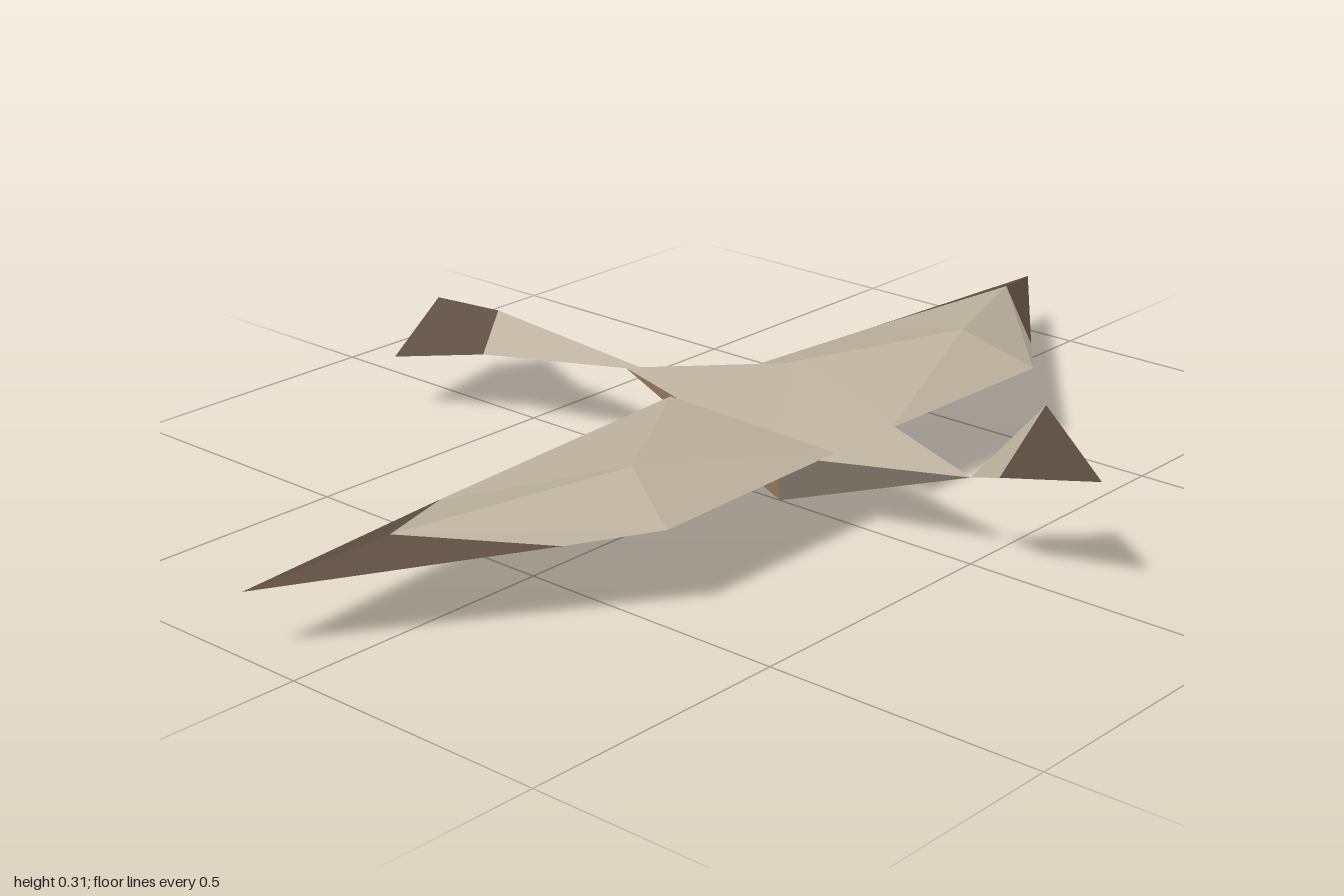
import * as THREE from 'three';

const mat = (name, color) => {
  const m = new THREE.MeshStandardMaterial({ color, side: THREE.DoubleSide, flatShading: true });
  m.name = name;
  return m;
};

// Faceted mesh from named points and triangles, e.g. 'a b c'
function facets(name, points, faces, material, mirror) {
  const pos = [];
  for (const face of faces) {
    const keys = face.split(' ');
    if (mirror < 0) keys.reverse();
    for (const k of keys) pos.push(points[k][0] * mirror, points[k][1], points[k][2]);
  }
  const geo = new THREE.BufferGeometry();
  geo.setAttribute('position', new THREE.Float32BufferAttribute(pos, 3));
  geo.computeVertexNormals();
  const mesh = new THREE.Mesh(geo, material);
  mesh.name = name;
  return mesh;
}

export function createModel() {
  const cream = mat('cream feathers', 0xbdb29e);
  const brown = mat('dark brown feathers', 0x5f4e43);
  const tan = mat('tan belly', 0xbf9f78);
  const model = new THREE.Group();
  model.name = 'bird';

  // Body: stretched octahedron with a tan rear belly
  const body = {
    front: [0, 0.15, 0.495], back: [0, 0.155, -0.265],
    top: [0, 0.26, 0.135], bottom: [0, 0, 0.095], side: [0.088, 0.125, 0.155],
  };
  // Head: small wedge with the beak pointing forward
  const head = {
    beak: [0, 0.21, 0.745], crown: [0, 0.31, 0.635], nape: [0, 0.15, 0.495],
    side: [0.04, 0.185, 0.58], chin: [0, 0.185, 0.58],
  };
  // Tail: ridged fan widening to the rear
  const tail = {
    root: [0, 0.163, -0.21], ridge: [0, 0.19, -0.585], end: [0, 0.18, -0.745],
    side: [0.07, 0.13, -0.555], corner: [0.15, 0.112, -0.705],
  };
  // Wing: a thin folded sheet with a raised ridge
  const wing = {
    rootFront: [0.073, 0.157, 0.275], rootBack: [0.073, 0.165, -0.09],
    front: [0.48, 0.152, 0.275], split: [0.61, 0.14, 0.178],
    tip: [1, 0.112, -0.108], rear: [0.56, 0.112, -0.147],
    inner: [0.43, 0.21, 0.155], outer: [0.79, 0.165, -0.01],
  };

  for (const s of [1, -1]) {
    const label = s > 0 ? 'left' : 'right';
    const add = (part, pts, faces, m) => model.add(facets(label + part, pts, faces, m, s));

    add('Body', body, ['front side top', 'side back top', 'front bottom side'], cream);
    add('Belly', body, ['side bottom back'], tan);

    // One side of the beak is dark
    add('Head', head, ['side nape crown', 'side chin nape'], cream);
    add('BeakSide', head, ['beak side crown'], s > 0 ? cream : brown);
    add('BeakUnderside', head, ['beak chin side'], brown);

    add('TailBase', tail, ['side ridge root'], cream);
    add('TailFan', tail, ['side corner ridge', 'corner end ridge'], brown);

    add('Wing', wing, [
      'rootFront front inner', 'rootFront inner rootBack', 'inner rear rootBack',
      'inner outer rear', 'front split outer', 'front outer inner',
    ], cream);
    add('WingTip', wing, ['split tip outer', 'outer tip rear'], brown);
  }
  return model;
}
